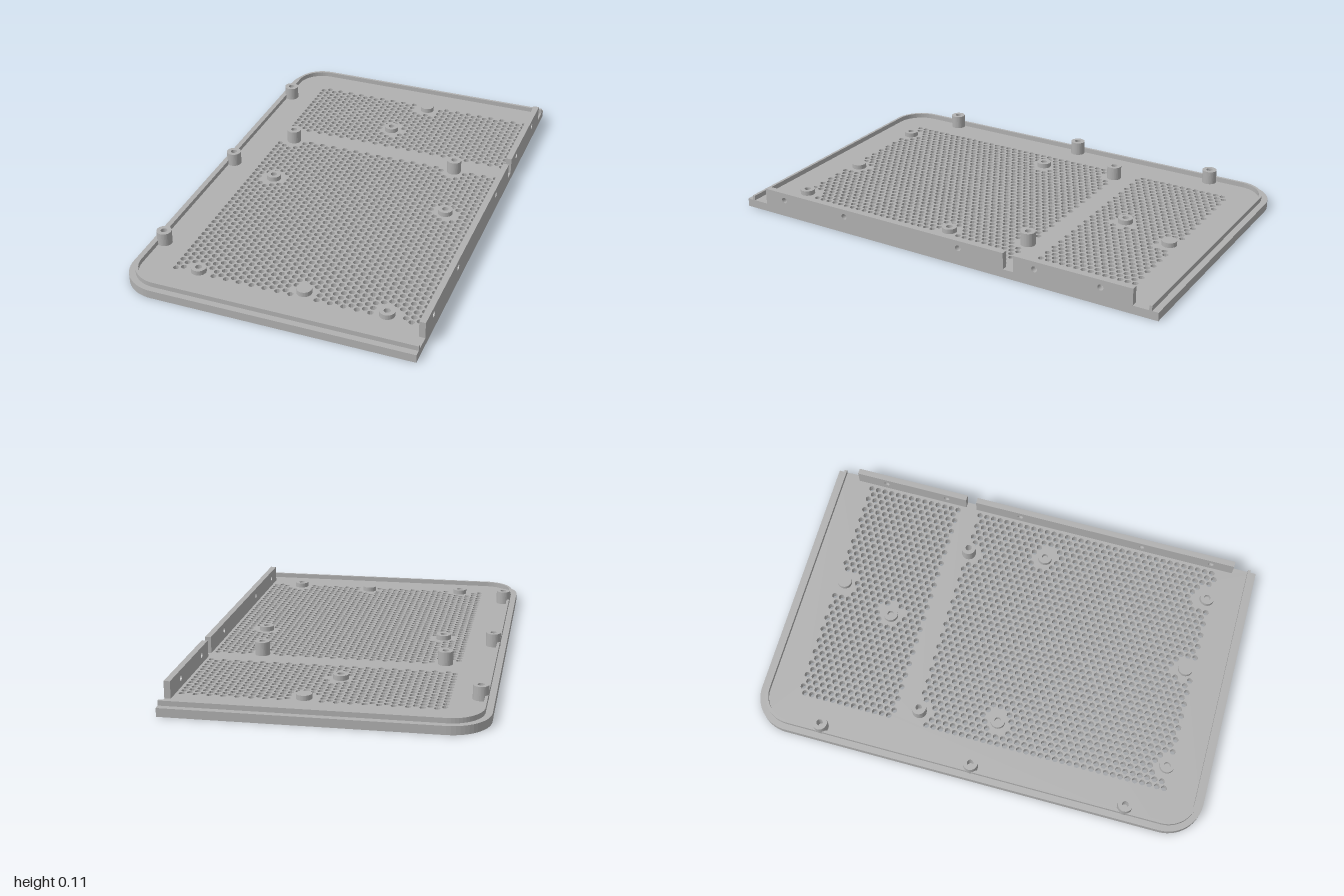
import * as THREE from 'three';

const X = 0.637, Z = 1, FLOOR = 0.036, LIP = 0.057, WALL = 0.108;

// Bosses: x, z, top height, screw hole radius (0 = solid disc)
const BOSSES = [
  [-0.58, -0.69, 0.095, 0.014], [-0.58, -0.01, 0.095, 0.014], [-0.58, 0.675, 0.095, 0.014],
  [-0.4, -0.295, 0.095, 0.014], [0.39, -0.295, 0.095, 0.014],
  [0, -0.55, LIP, 0.014], [-0.355, 0.05, LIP, 0.014], [0.455, 0.05, LIP, 0.014],
  [-0.355, 0.81, LIP, 0.014], [0.455, 0.81, LIP, 0.014],
  [0.1, -0.8, LIP, 0], [0.1, 0.79, LIP, 0],
];

// Closed polygon approximating a circle
function circle(x, y, r, n) {
  const pts = [];
  for (let i = 0; i < n; i++) {
    const a = ((i + 0.3) / n) * Math.PI * 2;
    pts.push(new THREE.Vector2(x + r * Math.cos(a), y + r * Math.sin(a)));
  }
  return pts;
}

// Outline inset on three sides: square ends at +x, rounded corners at -x
function outline(inset) {
  const r = 0.16 - inset, cx = -X + 0.16, cy = Z - 0.16;
  const pts = [new THREE.Vector2(X, Z - inset)];
  for (const [sign, start] of [[1, Math.PI / 2], [-1, Math.PI]]) {
    for (let i = 0; i <= 14; i++) {
      const a = start + (i / 14) * Math.PI / 2;
      pts.push(new THREE.Vector2(cx + r * Math.cos(a), sign * cy + r * Math.sin(a)));
    }
  }
  pts.push(new THREE.Vector2(X, -Z + inset));
  return pts;
}

// Extrude a plan-view shape (x, -z) upward from y0 to y1
function slab(shape, y0, y1) {
  const g = new THREE.ExtrudeGeometry(shape, { depth: y1 - y0, bevelEnabled: false, curveSegments: 12 });
  return g.rotateX(-Math.PI / 2).translate(0, y0, 0);
}

// Staggered vent holes, left clear around each boss
function addVents(shape, zStart, oddRows, evenRows) {
  const dx = 0.0281, dz = 0.0324;
  for (let c = 0; c < 38; c++) {
    const odd = c % 2 === 1;
    const x = -0.453 + c * dx;
    for (let r = 0; r < (odd ? oddRows : evenRows); r++) {
      const z = zStart + r * dz + (odd ? 0 : dz / 2);
      if (BOSSES.some(([bx, bz]) => Math.hypot(x - bx, z - bz) < 0.055)) continue;
      shape.holes.push(new THREE.Path(circle(x, -z, 0.0128, 10)));
    }
  }
}

export function createModel() {
  const group = new THREE.Group();
  const grey = new THREE.MeshStandardMaterial({ color: 0xb0b0b0 });
  grey.name = 'grey';
  const add = (name, geometry) => {
    const mesh = new THREE.Mesh(geometry, grey);
    mesh.name = name;
    group.add(mesh);
  };

  // Perforated base plate
  const plate = new THREE.Shape(outline(0));
  addVents(plate, -0.825, 14, 13);
  addVents(plate, -0.297, 35, 35);
  add('basePlate', slab(plate, 0, FLOOR));

  // Thin raised lip around three sides
  const lip = new THREE.Shape([...outline(0.027), ...outline(0.039).reverse()]);
  add('lip', slab(lip, FLOOR, LIP));

  // Upright side wall in two lengths, with screw holes
  const screwHoles = [0.79, 0.465, -0.11, -0.465, -0.755];
  for (const [name, z0, z1] of [['rearSideWall', -0.893, -0.37], ['frontSideWall', -0.322, 0.893]]) {
    const wall = new THREE.Shape();
    wall.moveTo(-z1, FLOOR);
    wall.lineTo(-z0, FLOOR);
    wall.lineTo(-z0, WALL);
    wall.lineTo(-z1, WALL);
    for (const z of screwHoles) {
      if (z > z0 && z < z1) wall.holes.push(new THREE.Path(circle(-z, 0.075, 0.013, 20)));
    }
    const g = new THREE.ExtrudeGeometry(wall, { depth: 0.026, bevelEnabled: false });
    add(name, g.rotateY(Math.PI / 2).translate(X - 0.026, 0, 0));
  }

  // Screw bosses and solid discs
  for (const [x, z, top, hole] of BOSSES) {
    const boss = new THREE.Shape(circle(x, -z, 0.032, 32));
    if (hole) boss.holes.push(new THREE.Path(circle(x, -z, hole, 20)));
    add(hole ? 'screwBoss' : 'supportDisc', slab(boss, FLOOR, top));
  }
  return group;
}
